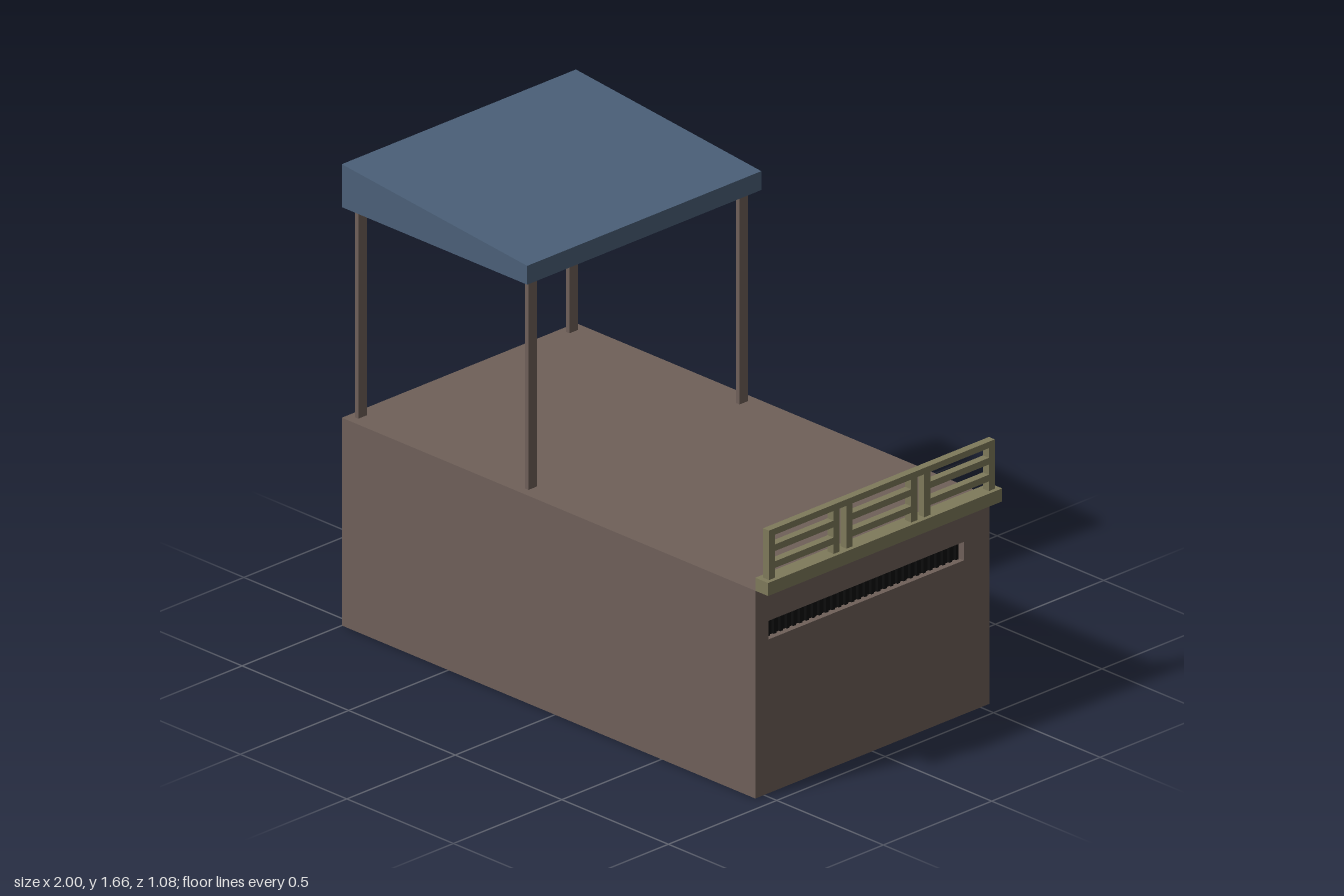
import * as THREE from 'three';

const mat = (name, color) => {
  const m = new THREE.MeshStandardMaterial({ color });
  m.name = name;
  return m;
};

// Box given by its min and max on each axis
function block(parent, name, material, [x0, x1], [y0, y1], [z0, z1]) {
  const mesh = new THREE.Mesh(new THREE.BoxGeometry(x1 - x0, y1 - y0, z1 - z0), material);
  mesh.position.set((x0 + x1) / 2, (y0 + y1) / 2, (z0 + z1) / 2);
  mesh.name = name;
  parent.add(mesh);
  return mesh;
}

const polygon = (C, pts) => new C(pts.map(([x, y]) => new THREE.Vector2(x, y)));
const rect = (x0, x1, y0, y1) => [[x0, y0], [x1, y0], [x1, y1], [x0, y1]];

export function createModel() {
  const model = new THREE.Group();
  model.name = 'kiosk';
  const brown = mat('brown wall', 0x6f6059);
  const blue = mat('blue roof', 0x4b6079);
  const olive = mat('olive wood', 0x7f7a5b);
  const black = mat('black slot', 0x0c0c0c);

  const W = 0.54, H = 0.75, END = 0.94, DEPTH = 0.03;

  // Main block, with an end wall pierced by the slot
  block(model, 'body', brown, [-1, END - DEPTH], [0, H], [-W, W]);
  const wall = polygon(THREE.Shape, rect(-W, W, 0, H));
  wall.holes.push(polygon(THREE.Path, rect(-0.478, 0.422, 0.555, 0.622)));
  const wallGeo = new THREE.ExtrudeGeometry(wall, { depth: DEPTH, bevelEnabled: false });
  wallGeo.rotateY(Math.PI / 2).translate(END - DEPTH, 0, 0);
  const endWall = new THREE.Mesh(wallGeo, brown);
  endWall.name = 'endWall';
  model.add(endWall);

  // Recessed dark slot with fine upright fins
  const slot = new THREE.Group();
  slot.name = 'slot';
  model.add(slot);
  const back = END - DEPTH;
  block(slot, 'slotBack', black, [back, back + 0.004], [0.555, 0.622], [-0.422, 0.478]);
  for (let i = 0; i < 30; i++) {
    const z = -0.407 + i * 0.03;
    block(slot, 'slotFin', black, [back, back + 0.014], [0.557, 0.62], [z - 0.006, z + 0.006]);
  }

  // Ledge and three-bay railing
  block(model, 'ledge', olive, [END, 1], [H, 0.797], [-W, W]);
  const railing = new THREE.Group();
  railing.name = 'railing';
  model.add(railing);
  const RX = [0.957, 0.985];
  block(railing, 'topRail', olive, RX, [0.952, 0.975], [-0.521, 0.521]);
  for (const c of [-0.358, 0, 0.358]) {
    for (const s of [-1, 1]) {
      const z = c + s * 0.149;
      block(railing, 'railPost', olive, RX, [0.797, 0.952], [z - 0.014, z + 0.014]);
    }
    for (const y of [0.844, 0.905]) {
      block(railing, 'slat', olive, RX, [y - 0.012, y + 0.012], [c - 0.135, c + 0.135]);
    }
  }

  // Canopy posts
  for (const x of [-0.964, -0.166]) {
    for (const z of [-0.487, 0.487]) {
      block(model, 'canopyPost', brown, [x - 0.008, x + 0.008], [H, 1.51], [z - 0.02, z + 0.02]);
    }
  }

  // Sloping canopy
  const profile = polygon(THREE.Shape, [[-1, 1.51], [-0.13, 1.51], [-0.13, 1.578], [-1, 1.665]]);
  const roofGeo = new THREE.ExtrudeGeometry(profile, { depth: 2 * W, bevelEnabled: false });
  roofGeo.translate(0, 0, -W);
  const roof = new THREE.Mesh(roofGeo, blue);
  roof.name = 'canopyRoof';
  model.add(roof);

  return model;
}
